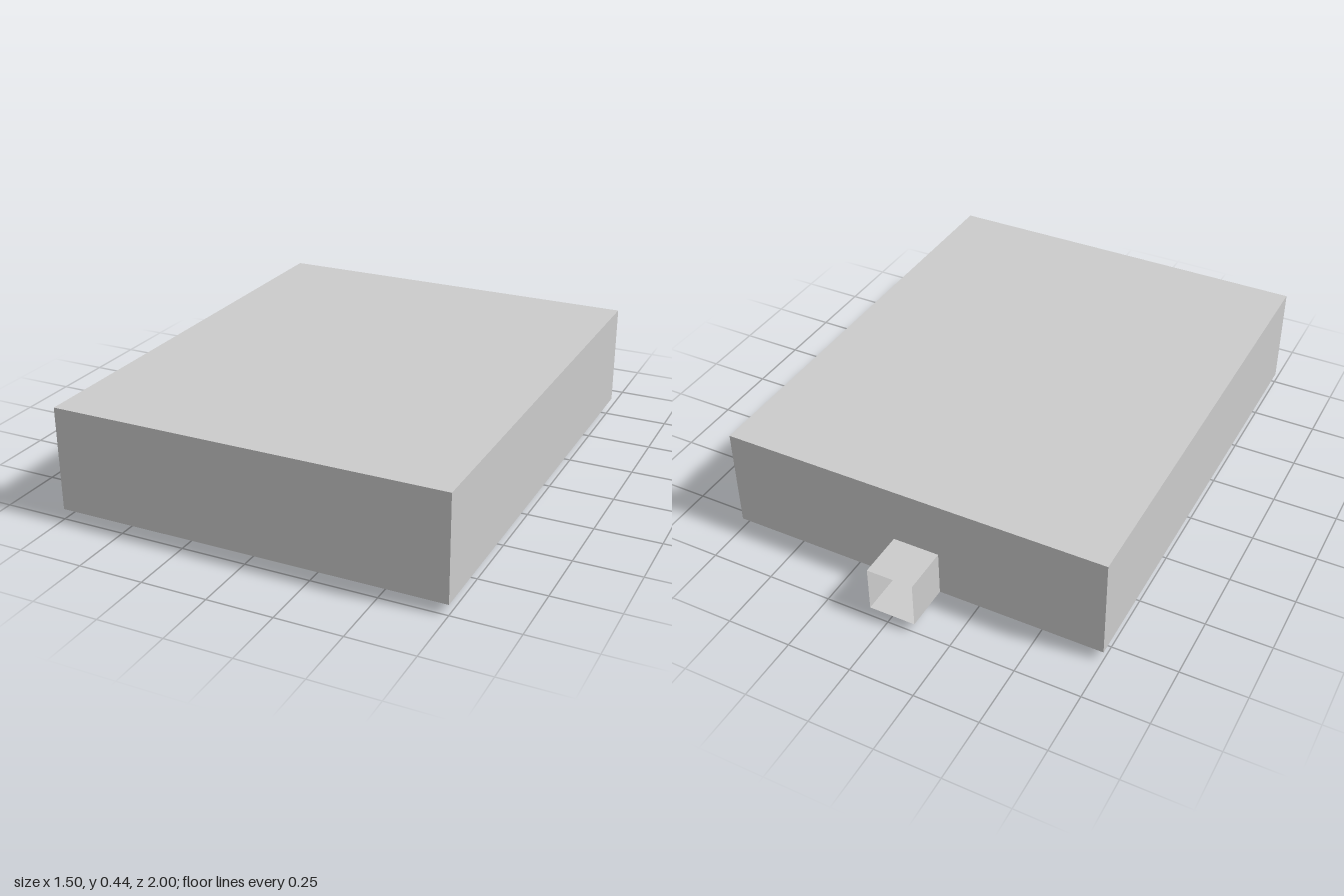
import * as THREE from 'three';

export function createModel() {
  const group = new THREE.Group();
  const solid = new THREE.MeshStandardMaterial({ color: 0xcccccc, flatShading: true });
  const thin = new THREE.MeshStandardMaterial({ color: 0xcccccc, flatShading: true, side: THREE.DoubleSide });

  // Box given by its minimum and maximum corners
  const box = (name, [x0, y0, z0], [x1, y1, z1]) => {
    const mesh = new THREE.Mesh(new THREE.BoxGeometry(x1 - x0, y1 - y0, z1 - z0), solid);
    mesh.name = name;
    mesh.position.set((x0 + x1) / 2, (y0 + y1) / 2, (z0 + z1) / 2);
    group.add(mesh);
  };

  box('body', [-0.75, 0.04, -0.82], [0.75, 0.44, 1]);
  box('basePlate', [-0.59, 0.003, -0.68], [0.61, 0.04, 0.82]);
  box('basePad', [-0.5, 0, -0.64], [0.5, 0.003, 0.72]);

  // Square socket at the back: four thin walls, open to the rear
  const socket = new THREE.Group();
  socket.name = 'rearSocket';
  socket.position.set(-0.02, 0.13, -0.91);
  const size = 0.18;
  ['Left', 'Top', 'Right', 'Bottom'].forEach((side, i) => {
    const wall = new THREE.PlaneGeometry(size, size);
    wall.rotateY(Math.PI / 2).translate(size / 2, 0, 0).rotateZ(i * Math.PI / 2);
    const mesh = new THREE.Mesh(wall, thin);
    mesh.name = 'socketWall' + side;
    socket.add(mesh);
  });
  group.add(socket);

  return group;
}
